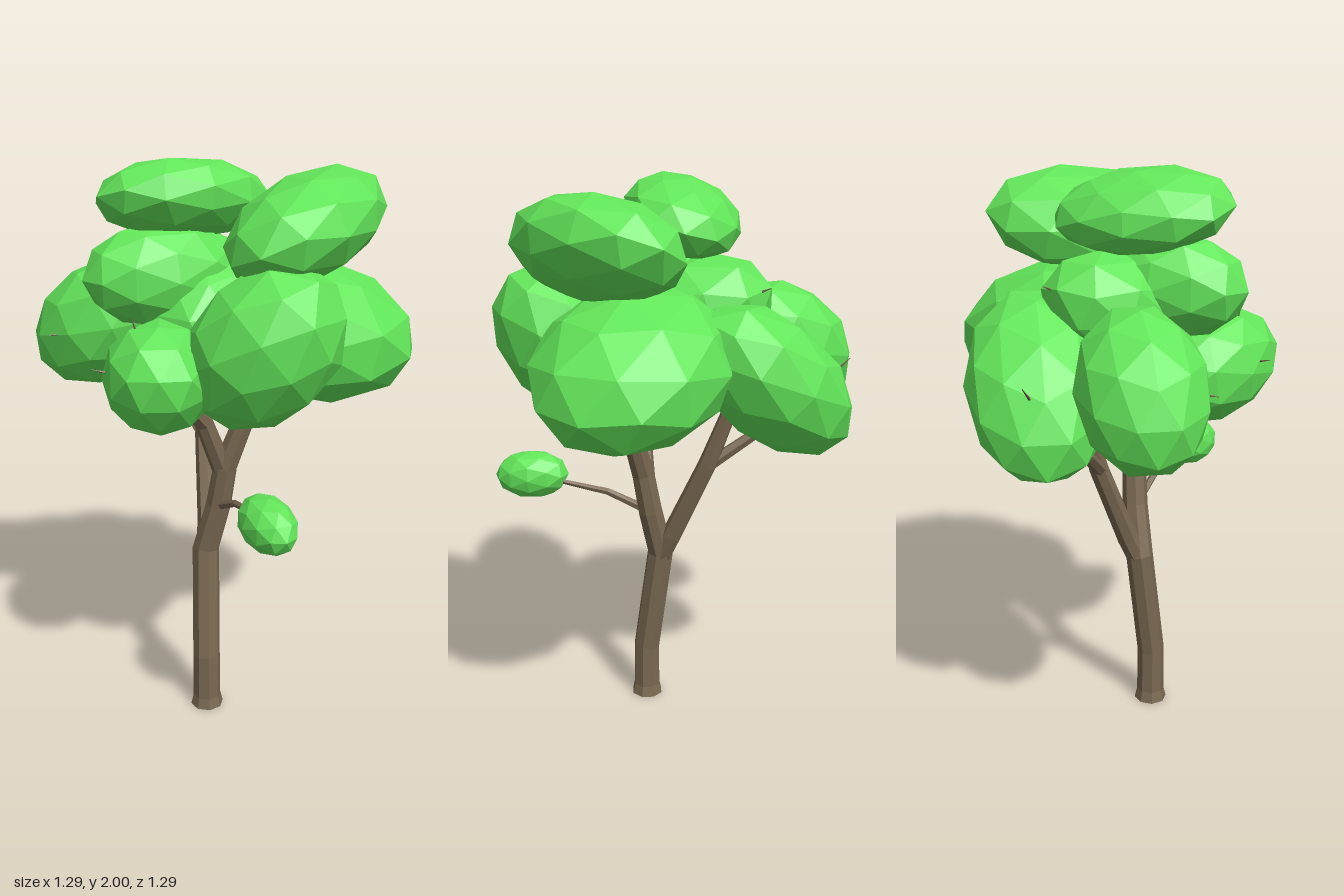
import * as THREE from 'three';

export function createModel() {
  const tree = new THREE.Group();
  tree.name = 'tree';
  const leafGreen = new THREE.MeshStandardMaterial({ color: 0x63e65a });
  leafGreen.name = 'leafGreen';
  const barkBrown = new THREE.MeshStandardMaterial({ color: 0x7a6952 });
  barkBrown.name = 'barkBrown';

  const add = (name, geometry, material) => {
    geometry.computeVertexNormals(); // unindexed, so every facet is flat
    const mesh = new THREE.Mesh(geometry, material);
    mesh.name = name;
    tree.add(mesh);
  };

  // Faceted ellipsoid: radii are [along axis, thickness, sideways]; roll turns it about its axis
  const up = new THREE.Vector3(0, 1, 0);
  function clump(name, center, axis, radii, roll = 0) {
    const x = new THREE.Vector3(...axis).normalize();
    const z = new THREE.Vector3().crossVectors(x, up).normalize().applyAxisAngle(x, -roll);
    const y = new THREE.Vector3().crossVectors(z, x);
    const g = new THREE.IcosahedronGeometry(1, 1);
    g.scale(...radii);
    g.applyMatrix4(new THREE.Matrix4().makeBasis(x, y, z));
    g.translate(...center);
    add(name, g, leafGreen);
  }

  // Tapered faceted limb through points given as [x, y, z, radius]
  function limb(name, points, sides = 7) {
    const p = points.map(q => new THREE.Vector3(q[0], q[1], q[2]));
    const last = p.length - 1;
    const rings = p.map((c, i) => {
      const t = p[Math.min(i + 1, last)].clone().sub(p[Math.max(i - 1, 0)]).normalize();
      if (i === 0 && c.y === 0) t.copy(up); // flat foot on the ground
      const u = new THREE.Vector3(0, 0, 1).addScaledVector(t, -t.z).normalize();
      const v = new THREE.Vector3().crossVectors(t, u);
      return Array.from({ length: sides }, (_, k) => {
        const a = (k / sides) * Math.PI * 2;
        return c.clone().addScaledVector(u, points[i][3] * Math.cos(a))
          .addScaledVector(v, points[i][3] * Math.sin(a));
      });
    });
    const tris = [];
    for (let k = 0; k < sides; k++) {
      const n = (k + 1) % sides;
      for (let i = 0; i < last; i++) {
        const a = rings[i], b = rings[i + 1];
        tris.push(a[k], a[n], b[n], a[k], b[n], b[k]);
      }
      tris.push(p[0], rings[0][n], rings[0][k], p[last], rings[last][k], rings[last][n]);
    }
    add(name, new THREE.BufferGeometry().setFromPoints(tris), barkBrown);
  }

  // Trunk and main branches
  limb('trunk', [[-0.115, 0, 0.1, 0.06], [-0.115, 0.04, 0.1, 0.051], [-0.115, 0.21, 0.1, 0.05],
    [-0.103, 0.62, 0.04, 0.049], [-0.06, 0.8, 0.065, 0.046], [-0.04, 0.95, 0.085, 0.043],
    [0.04, 1.18, 0.115, 0.036], [0.1, 1.4, 0.15, 0.02]], 8);
  limb('backBranch', [[-0.1, 0.6, 0.04, 0.04], [-0.085, 0.7, -0.01, 0.038],
    [-0.07, 1.0, -0.15, 0.034], [-0.07, 1.2, -0.225, 0.028], [-0.12, 1.45, -0.22, 0.015]]);
  limb('backSideBranch', [[-0.075, 0.99, -0.145, 0.025], [-0.15, 1.12, -0.32, 0.02], [-0.25, 1.28, -0.4, 0.012]], 6);
  limb('rightForkBranch', [[-0.045, 0.93, 0.08, 0.038], [-0.12, 1.13, 0.12, 0.033], [-0.25, 1.3, 0.22, 0.015]]);
  limb('lowTwig', [[-0.06, 0.8, 0.08, 0.017], [-0.03, 0.865, 0.22, 0.013], [0, 0.895, 0.38, 0.009], [0.01, 0.91, 0.48, 0.006]], 5);

  // Thin twig tips poking out of the leaves
  [[[-0.34, 1.44, 0.25], [-0.37, 1.54, 0.24]],
    [[-0.4, 1.35, 0.24], [-0.5, 1.375, 0.23]],
    [[-0.16, 1.33, -0.55], [-0.18, 1.4, -0.62]],
    [[-0.53, 1.37, -0.25], [-0.61, 1.37, -0.23]],
    [[-0.04, 1.62, -0.3], [-0.035, 1.65, -0.37]]].forEach(([a, b], i) =>
    limb('twigTip' + (i + 1), [[...a, 0.008], [...b, 0.001]], 4));

  // Leaf clumps
  clump('topClump', [-0.155, 1.862, -0.025], [0.88, -0.08, -0.3], [0.31, 0.13, 0.21], 0.3);
  clump('upperLeftSideClump', [0.215, 1.788, 0.15], [0.55, 0.1, -0.75], [0.38, 0.17, 0.255], 0.4);
  clump('largeLeftSideClump', [0.235, 1.42, 0.015], [0.9, -0.2, 0.06], [0.42, 0.25, 0.335]);
  clump('frontClump', [0.04, 1.44, 0.325], [0.38, 0.75, 0.5], [0.315, 0.23, 0.26]);
  clump('frontRightSideClump', [-0.28, 1.33, 0.21], [0.15, -0.25, -1], [0.27, 0.19, 0.188]);
  clump('rightSideClump', [-0.41, 1.38, -0.345], [-0.6, -0.55, -0.5], [0.295, 0.212, 0.21]);
  clump('backClump', [-0.022, 1.34, -0.385], [-0.5, -0.57, -0.45], [0.365, 0.205, 0.24]);
  clump('upperRightSideClump', [-0.235, 1.625, 0.02], [1, 0, -0.2], [0.275, 0.175, 0.17]);
  clump('middleClump', [-0.1, 1.52, -0.05], [0.05, 0.4, -1], [0.335, 0.205, 0.23]);
  clump('lowSmallClump', [0.01, 0.915, 0.505], [0.22, -0.05, 1], [0.138, 0.09, 0.088]);

  return tree;
}
